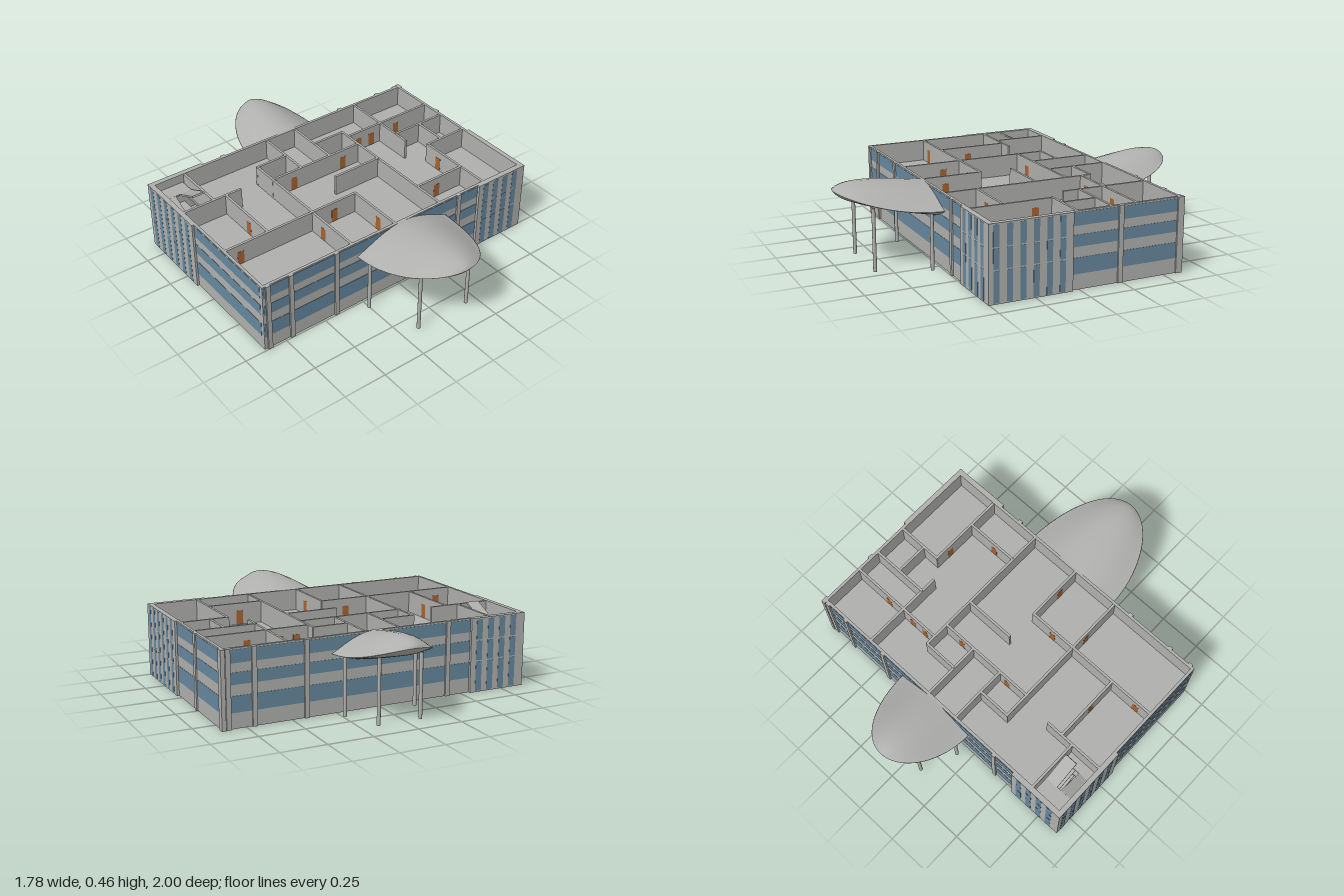
import * as THREE from 'three';

const concrete = new THREE.MeshStandardMaterial({ color: 0xafb0ad, side: THREE.DoubleSide });
concrete.name = 'concrete grey';
const glass = new THREE.MeshStandardMaterial({ color: 0x66879d });
glass.name = 'window blue';
const wood = new THREE.MeshStandardMaterial({ color: 0xa9622f });
wood.name = 'door brown';

const TOP = 0.414, FLOOR = 0.29, MID_Z = -0.0535;

// Box given by its lower and upper corners
function block(parent, name, mat, x0, x1, y0, y1, z0, z1) {
  const m = new THREE.Mesh(new THREE.BoxGeometry(x1 - x0, y1 - y0, z1 - z0), mat);
  m.position.set((x0 + x1) / 2, (y0 + y1) / 2, (z0 + z1) / 2);
  m.name = name;
  parent.add(m);
  return m;
}

// Front and right-hand facades with the projecting corner bay; used twice by half turn
function facade() {
  const g = new THREE.Group();
  block(g, 'frontWall', concrete, -0.877, 0.877, 0, TOP, 0.474, 0.49);
  block(g, 'sideWall', concrete, 0.861, 0.877, 0, TOP, -0.597, 0.49);
  for (const [y0, y1] of [[0.083, 0.17], [0.227, 0.29], [0.337, 0.406]]) {
    block(g, 'frontWindowBand', glass, -0.873, 0.55, y0, y1, 0.486, 0.4915);
    block(g, 'sideWindowBand', glass, 0.873, 0.8785, y0, y1, -0.575, 0.04);
  }
  for (const x of [-0.845, -0.705, -0.42, 0.41])
    block(g, 'frontPillar', concrete, x - 0.013, x + 0.013, 0, TOP, 0.485, 0.5);

  // Corner bay with upright window strips between floor lines
  block(g, 'bayFront', concrete, 0.55, 0.89, 0, TOP, 0.488, 0.505);
  block(g, 'baySide', concrete, 0.873, 0.89, 0, TOP, 0.04, 0.505);
  for (const [y0, y1] of [[0.006, 0.172], [0.179, 0.287], [0.294, 0.406]]) {
    for (let i = 0; i < 4; i++) {
      const x = 0.583 + i * 0.0717;
      block(g, 'bayFrontWindow', glass, x, x + 0.037, y0, y1, 0.501, 0.506);
    }
    for (let i = 0; i < 6; i++) {
      const z = 0.083 + i * 0.0727;
      block(g, 'baySideWindow', glass, 0.886, 0.891, y0, y1, z, z + 0.033);
    }
  }
  return g;
}

// Floor plate with the stairwell cut out
function floorSlab(yTop, thick) {
  const s = new THREE.Shape();
  s.moveTo(-0.876, -0.489).lineTo(0.876, -0.489).lineTo(0.876, 0.596).lineTo(-0.876, 0.596).closePath();
  const h = new THREE.Path();
  h.moveTo(-0.86, 0.34).lineTo(-0.86, 0.58).lineTo(-0.69, 0.58).lineTo(-0.69, 0.34).closePath();
  s.holes.push(h);
  const geo = new THREE.ExtrudeGeometry(s, { depth: thick, bevelEnabled: false });
  geo.rotateX(-Math.PI / 2);
  const m = new THREE.Mesh(geo, concrete);
  m.position.y = yTop - thick;
  m.name = 'floorSlab';
  return m;
}

// Two sloping flights rising from y0, with a landing at the back
function stair(y0, rise) {
  const g = new THREE.Group();
  g.name = 'stair';
  const run = 0.15, slope = Math.atan2(rise, run), half = Math.hypot(run, rise) / 2;
  const flight = (name, x0, x1, y, tilt) => {
    const m = block(g, name, concrete, x0, x1, y - 0.01, y, -0.415 - half, -0.415 + half);
    m.rotation.x = tilt;
  };
  flight('lowerFlight', -0.86, -0.79, y0 + rise / 2, slope);
  flight('upperFlight', -0.765, -0.69, y0 + rise * 1.5, -slope);
  block(g, 'landing', concrete, -0.86, -0.69, y0 + rise - 0.01, y0 + rise, -0.58, -0.488);
  return g;
}

// Shell-shaped canopy lofted outward along z; dir is +1 for front, -1 for back
function canopy(cx, halfWidth, zBase, length, under, dir) {
  const rows = 28, half = 16, ring = half * 2, tip = 0.415, pos = [], idx = [];
  for (let i = 0; i <= rows; i++) {
    const a = (i / rows) * Math.PI / 2, s = Math.sin(a), w = halfWidth * Math.cos(a);
    const rim = 0.32 + (tip - 0.32) * s * s;
    const crown = tip + 0.041 * Math.sin(Math.PI * Math.pow(Math.max(0, 1 - s), 0.55));
    const belly = under + (tip - under) * (0.8 * s + 0.2 * Math.pow(s, 20));
    for (let j = 0; j < ring; j++) {
      const t = (j / ring) * Math.PI * 2, v = Math.cos(t), swell = 1 - v * v;
      const y = j <= half
        ? rim + (crown - rim) * Math.pow(swell, 1.25)
        : rim + (Math.min(belly, rim) - rim) * swell;
      pos.push(cx + w * v, y, zBase + dir * length * s);
    }
  }
  for (let i = 0; i < rows; i++) for (let j = 0; j < ring; j++) {
    const k = (j + 1) % ring, a = i * ring + j, b = i * ring + k, c = a + ring, e = b + ring;
    if (dir > 0) idx.push(a, c, b, b, c, e);
    else idx.push(a, b, c, b, e, c);
  }
  // Flip every face if the loop order points inward
  const geo = new THREE.BufferGeometry();
  geo.setAttribute('position', new THREE.Float32BufferAttribute(pos, 3));
  geo.setIndex(idx);
  geo.computeVertexNormals();
  if (geo.attributes.normal.getY(6 * ring + half / 2) < 0) {
    geo.setIndex(idx.reverse());
    geo.computeVertexNormals();
  }
  const m = new THREE.Mesh(geo, concrete);
  m.name = dir > 0 ? 'frontCanopy' : 'backCanopy';
  return m;
}

export function createModel() {
  const model = new THREE.Group();

  // Outer walls
  const near = facade();
  near.name = 'frontAndRightFacade';
  const far = facade();
  far.name = 'backAndLeftFacade';
  far.rotation.y = Math.PI;
  far.position.z = 2 * MID_Z;
  model.add(near, far);
  block(model, 'sidePillar', concrete, 0.87, 0.885, 0, TOP, -0.25, -0.222);
  block(model, 'cornerPillar', concrete, 0.862, 0.885, 0, TOP, -0.61, -0.572);

  // Floors and stairs
  model.add(floorSlab(0.012, 0.012), floorSlab(0.175, 0.012), floorSlab(FLOOR, 0.012));
  model.add(stair(0.012, 0.08), stair(0.175, 0.0575), stair(FLOOR, 0.073));

  // Partitions running along x: [z, x0, x1]
  const t = 0.007;
  const alongX = [
    [-0.273, -0.87, -0.5], [0.134, -0.87, -0.02], [-0.39, -0.32, -0.12], [-0.238, -0.32, 0.285],
    [-0.39, 0.08, 0.285], [-0.333, 0.285, 0.865], [-0.188, 0.52, 0.865], [0.01, 0.595, 0.865],
    [0.293, 0.285, 0.6], [-0.053, -0.02, 0.285],
  ];
  for (const [z, x0, x1] of alongX)
    block(model, 'partition', concrete, x0, x1, FLOOR, TOP - 0.001, z - t, z + t);

  // Partitions running along z: [x, z0, z1]
  const alongZ = [
    [-0.675, -0.59, -0.273], [-0.598, -0.273, 0.134], [-0.312, -0.393, 0.48], [-0.119, -0.59, -0.238],
    [0.08, -0.59, -0.238], [0.283, -0.393, 0.48], [0.521, -0.59, -0.093], [0.7, -0.188, 0.01],
    [0.601, 0.01, 0.48], [-0.024, 0.134, 0.48],
  ];
  for (const [x, z0, z1] of alongZ)
    block(model, 'partition', concrete, x - t, x + t, FLOOR, TOP - 0.002, z0, z1);

  // Doors, nearly flush with both faces of their partitions
  const d = t + 0.0008, w = 0.02;
  for (const [x, z] of [[-0.775, 0.134], [-0.17, 0.134], [-0.175, -0.238], [0.165, -0.238],
    [0.355, -0.333], [0.45, -0.333], [0.635, -0.333], [0.42, 0.293]])
    block(model, 'door', wood, x - w, x + w, FLOOR, FLOOR + 0.08, z - d, z + d);
  for (const [x, z] of [[-0.598, -0.04], [-0.024, 0.345], [-0.312, 0.24], [0.601, 0.11]])
    block(model, 'door', wood, x - d, x + d, FLOOR, FLOOR + 0.08, z - w, z + w);

  // Canopies and their slender columns
  model.add(canopy(0.018, 0.302, 0.485, 0.513, 0.24, 1));
  model.add(canopy(0.03, 0.25, -0.592, 0.408, 0.26, -1));
  const columns = [
    [0.02, 0.165, 0.835, 0.345], [0.02, 0.27, 0.553, 0.31],
    [0.03, 0.12, -0.862, 0.35], [0.03, 0.205, -0.66, 0.315],
  ];
  for (const [cx, dx, z, h] of columns) for (const side of [-1, 1]) {
    const c = new THREE.Mesh(new THREE.CylinderGeometry(0.01, 0.01, h, 16), concrete);
    c.position.set(cx + side * dx, h / 2, z);
    c.name = 'canopyColumn';
    model.add(c);
  }
  return model;
}
